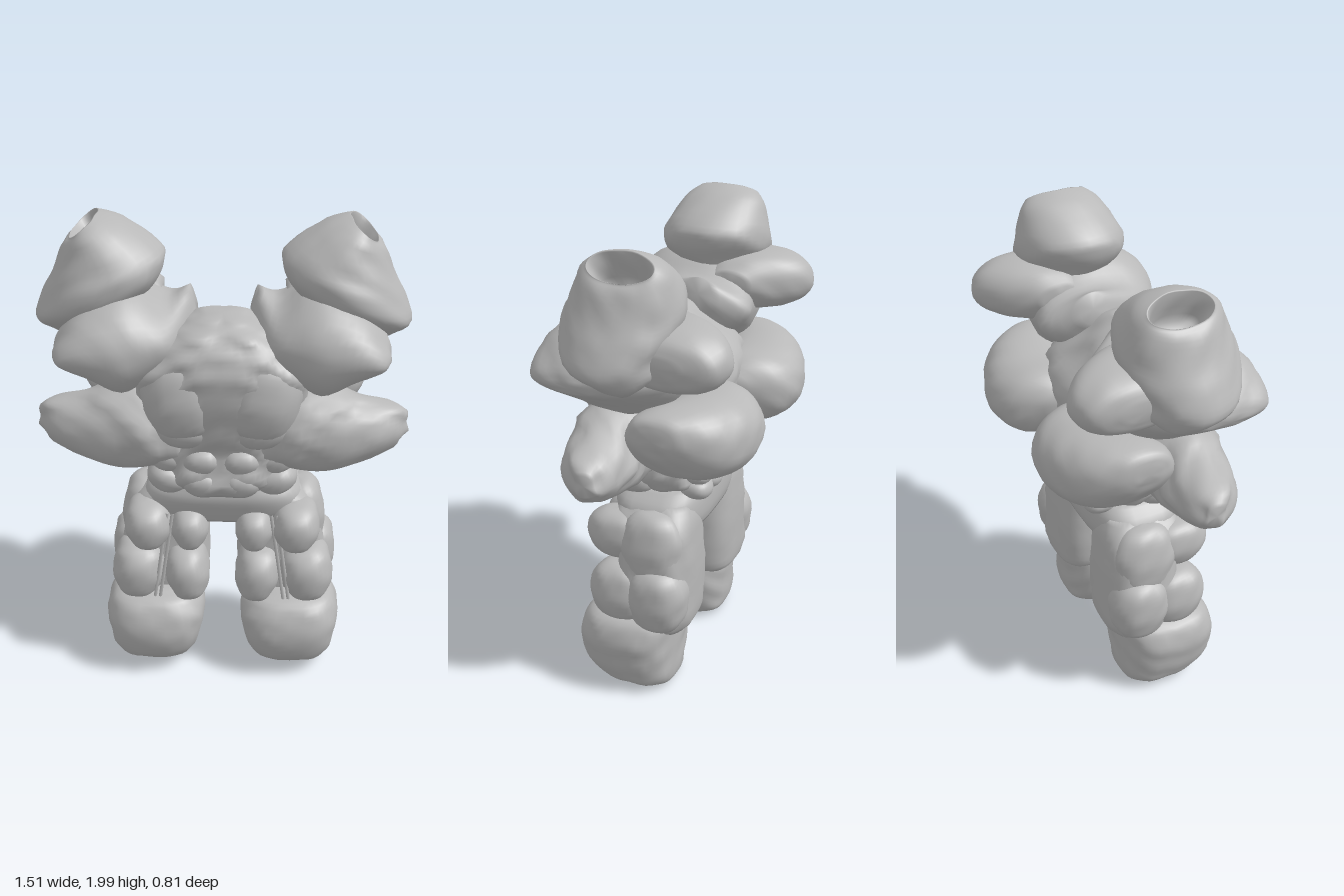
import * as THREE from 'three';

const stone = new THREE.MeshStandardMaterial({ color: 0xb8b8b8 });
stone.name = 'grey';

// Small fixed ripple that makes surfaces look hand sculpted
const ripple = (x, y, z) => Math.sin(x * 31 + y * 17) * Math.sin(y * 37 - z * 23) * Math.cos(z * 29 + x * 11);

// Skin through rings [x0, y0, x1, y1, zCentre, zRadius]; each ring is a rounded
// loop whose first axis runs from (x0, y0) to (x1, y1).
function loft(name, rings, { side = 1, power = 2, rough = 0.006, steps = 4, n = 36 } = {}) {
  const a = new THREE.CatmullRomCurve3(rings.map(r => new THREE.Vector3(r[0] * side, r[1], r[4])), false, 'catmullrom');
  const b = new THREE.CatmullRomCurve3(rings.map(r => new THREE.Vector3(r[2] * side, r[3], r[5])), false, 'catmullrom');
  const m = (rings.length - 1) * steps, pos = [], idx = [];
  const round = v => Math.sign(v) * Math.abs(v) ** (2 / power);
  for (let i = 0; i <= m; i++) {
    const p = a.getPoint(i / m), q = b.getPoint(i / m);
    for (let j = 0; j < n; j++) {
      const t = j / n * Math.PI * 2, c = round(Math.cos(t)), s = round(Math.sin(t));
      const x = (p.x + q.x) / 2 + c * (q.x - p.x) / 2;
      const y = (p.y + q.y) / 2 + c * (q.y - p.y) / 2;
      const z = p.z + s * q.z, d = ripple(Math.abs(x), y, z) * rough;
      pos.push(x + c * d * side, y, z + s * d);
      if (i < m) {
        const k = i * n + j, l = i * n + (j + 1) % n;
        idx.push(k, l, k + n, l, l + n, k + n);
      }
    }
  }
  // Closed ends
  for (const i of [0, m]) {
    const p = a.getPoint(i / m), q = b.getPoint(i / m), c = pos.length / 3;
    pos.push((p.x + q.x) / 2, (p.y + q.y) / 2, p.z);
    for (let j = 0; j < n; j++) {
      const k = i * n + j, l = i * n + (j + 1) % n;
      if (i) idx.push(k, l, c); else idx.push(l, k, c);
    }
  }
  // Turn faces outward whichever way the rings run
  let vol = 0;
  const v = i => new THREE.Vector3().fromArray(pos, i * 3);
  for (let i = 0; i < idx.length; i += 3) vol += v(idx[i]).dot(v(idx[i + 1]).cross(v(idx[i + 2])));
  if (vol < 0) idx.reverse();
  const g = new THREE.BufferGeometry();
  g.setAttribute('position', new THREE.Float32BufferAttribute(pos, 3));
  g.setIndex(idx);
  g.computeVertexNormals();
  const mesh = new THREE.Mesh(g, stone);
  mesh.name = name;
  return mesh;
}

// Slightly boxy muscle bulge
function lump(name, [x, y, z], [rx, ry, rz], side = 1, tilt = 0) {
  const rings = [-1, -0.9, -0.6, 0, 0.6, 0.9, 1].map(h => {
    const w = Math.max(0.02, (1 - Math.abs(h) ** 2.4) ** (1 / 2.4));
    return [-rx * w, ry * h, rx * w, ry * h, 0, rz * w];
  });
  const mesh = loft(name, rings, { power: 2.3, n: 28 });
  mesh.position.set(x * side, y, z);
  mesh.rotation.z = tilt * side;
  return mesh;
}

export function createModel() {
  const model = new THREE.Group();
  const add = (...m) => model.add(...m);
  // Level ring given by half width, back and front
  const level = (y, w, back, front) => [-w, y, w, y, (back + front) / 2, (front - back) / 2];

  // Trunk and hips
  add(loft('torso', [
    level(0.88, 0.22, -0.13, 0.27), level(0.95, 0.29, -0.15, 0.305), level(1.06, 0.3, -0.16, 0.285),
    level(1.16, 0.32, -0.18, 0.315), level(1.28, 0.35, -0.2, 0.355), level(1.4, 0.37, -0.19, 0.375),
    level(1.48, 0.34, -0.12, 0.365), level(1.55, 0.26, -0.05, 0.33), level(1.6, 0.16, 0.01, 0.28),
    level(1.635, 0.06, 0.07, 0.21)
  ], { power: 2.7, rough: 0.018, n: 72 }));
  add(loft('pelvis', [
    level(0.73, 0.3, -0.13, 0.22), level(0.78, 0.34, -0.14, 0.24),
    level(0.85, 0.32, -0.14, 0.26), level(0.91, 0.25, -0.13, 0.25)
  ], { power: 3, rough: 0 }));

  for (const s of [1, -1]) {
    const side = { side: s };

    // Raised upper arm with a hollow end
    add(loft('upperArm', [
      [0.45, 1.86, 0.51, 1.81, 0.035, 0.09], [0.485, 1.98, 0.585, 1.9, 0.035, 0.125],
      [0.475, 1.995, 0.595, 1.905, 0.035, 0.138], [0.385, 1.965, 0.625, 1.87, 0.04, 0.175],
      [0.245, 1.875, 0.67, 1.77, 0.05, 0.215], [0.23, 1.81, 0.71, 1.69, 0.06, 0.23],
      [0.26, 1.74, 0.74, 1.6, 0.07, 0.2], [0.33, 1.65, 0.69, 1.535, 0.03, 0.15],
      [0.42, 1.57, 0.62, 1.49, 0.01, 0.06]
    ], side));

    // Shoulder collar
    add(loft('shoulder', [
      [0.1, 1.57, 0.135, 1.7, 0.01, 0.06], [0.16, 1.46, 0.22, 1.67, 0.06, 0.23],
      [0.28, 1.37, 0.32, 1.73, 0.1, 0.27], [0.39, 1.31, 0.41, 1.75, 0.12, 0.28],
      [0.5, 1.38, 0.54, 1.69, 0.14, 0.265], [0.6, 1.45, 0.63, 1.58, 0.18, 0.2],
      [0.64, 1.48, 0.65, 1.52, 0.2, 0.09]
    ], side));
    add(loft('rearShoulder', [
      [0.25, 1.59, 0.25, 1.69, -0.07, 0.08], [0.31, 1.53, 0.31, 1.73, -0.09, 0.14],
      [0.38, 1.51, 0.38, 1.75, -0.13, 0.185], [0.46, 1.5, 0.46, 1.75, -0.15, 0.215],
      [0.53, 1.5, 0.53, 1.74, -0.15, 0.205], [0.585, 1.53, 0.585, 1.71, -0.14, 0.17],
      [0.61, 1.58, 0.61, 1.66, -0.12, 0.08]
    ], { side: s, power: 2.2 }));

    // Back and flank muscles
    add(loft('backMuscle', [
      [0.03, 1.22, 0.03, 1.33, -0.12, 0.09], [0.12, 1.11, 0.12, 1.39, -0.18, 0.18],
      [0.24, 1.08, 0.24, 1.4, -0.2, 0.205], [0.36, 1.08, 0.36, 1.41, -0.19, 0.2],
      [0.48, 1.12, 0.48, 1.41, -0.14, 0.19], [0.56, 1.22, 0.56, 1.39, -0.1, 0.12],
      [0.58, 1.28, 0.58, 1.34, -0.09, 0.05]
    ], { side: s, power: 2.2 }));
    add(loft('flankMuscle', [
      [0.15, 1, 0.15, 1.28, 0.1, 0.18], [0.28, 0.98, 0.28, 1.34, 0.15, 0.18],
      [0.42, 0.97, 0.42, 1.34, 0.16, 0.16], [0.56, 1.01, 0.56, 1.29, 0.15, 0.14],
      [0.68, 1.06, 0.69, 1.25, 0.13, 0.1], [0.745, 1.12, 0.745, 1.21, 0.11, 0.045]
    ], { side: s, rough: 0.018 }));

    // Chest, belly and lower back
    add(lump('chestMuscle', [0.16, 1.33, 0.2], [0.165, 0.2, 0.18], s, -0.15));
    add(lump('lowerChest', [0.16, 1.2, 0.19], [0.15, 0.1, 0.15], s, 0.2));
    for (const y of [0.94, 1.04]) {
      add(lump('bellyMuscle', [0.08, y, 0.2], [0.085, 0.07, 0.11], s));
      add(lump('sideBelly', [0.22, y, 0.16], [0.09, 0.07, 0.12], s, 0.3));
    }
    for (const y of [0.91, 0.98, 1.05])
      for (const x of [0.06, 0.17])
        add(lump('lowerBackMuscle', [x, y, -0.1], [0.065, 0.045, 0.075], s));

    // Thigh core with stacked bulges
    add(loft('thigh', [
      [0.12, 0.86, 0.3, 0.86, 0.04, 0.14], [0.08, 0.78, 0.385, 0.78, 0.04, 0.17],
      [0.065, 0.65, 0.425, 0.65, 0.02, 0.16], [0.06, 0.48, 0.45, 0.48, 0.02, 0.165],
      [0.075, 0.34, 0.43, 0.34, 0.02, 0.16], [0.12, 0.29, 0.4, 0.29, 0.02, 0.13]
    ], { side: s, power: 3 }));
    add(lump('upperOuterThigh', [0.31, 0.71, 0.18], [0.1, 0.11, 0.14], s));
    add(lump('upperInnerThigh', [0.135, 0.7, 0.17], [0.08, 0.1, 0.14], s));
    add(lump('lowerOuterThigh', [0.36, 0.465, 0.15], [0.115, 0.135, 0.14], s, 0.1));
    add(lump('lowerInnerThigh', [0.15, 0.46, 0.16], [0.095, 0.13, 0.14], s, -0.1));
    add(lump('sideThigh', [0.38, 0.47, -0.02], [0.11, 0.155, 0.13], s));
    add(lump('upperSideThigh', [0.34, 0.69, 0.02], [0.095, 0.16, 0.14], s, 0.15));

    // Thin tendons down the front seam
    for (const dx of [0, 0.022]) {
      const path = new THREE.LineCurve3(
        new THREE.Vector3((0.205 + dx) * s, 0.78, 0.24), new THREE.Vector3((0.265 + dx) * s, 0.36, 0.25));
      const tendon = new THREE.Mesh(new THREE.TubeGeometry(path, 4, 0.008, 6), stone);
      tendon.name = 'tendon';
      add(tendon);
    }

    // Heavy blunt foot
    add(loft('foot', [
      [0.22, 0.005, 0.38, 0.005, 0.08, 0.1], [0.15, 0.03, 0.45, 0.04, 0.09, 0.16],
      [0.11, 0.1, 0.48, 0.1, 0.12, 0.2], [0.085, 0.2, 0.5, 0.2, 0.135, 0.215],
      [0.08, 0.28, 0.505, 0.28, 0.13, 0.21], [0.12, 0.35, 0.47, 0.35, 0.115, 0.185],
      [0.2, 0.38, 0.39, 0.38, 0.1, 0.12]
    ], { side: s, power: 2.8 }));
  }
  return model;
}
